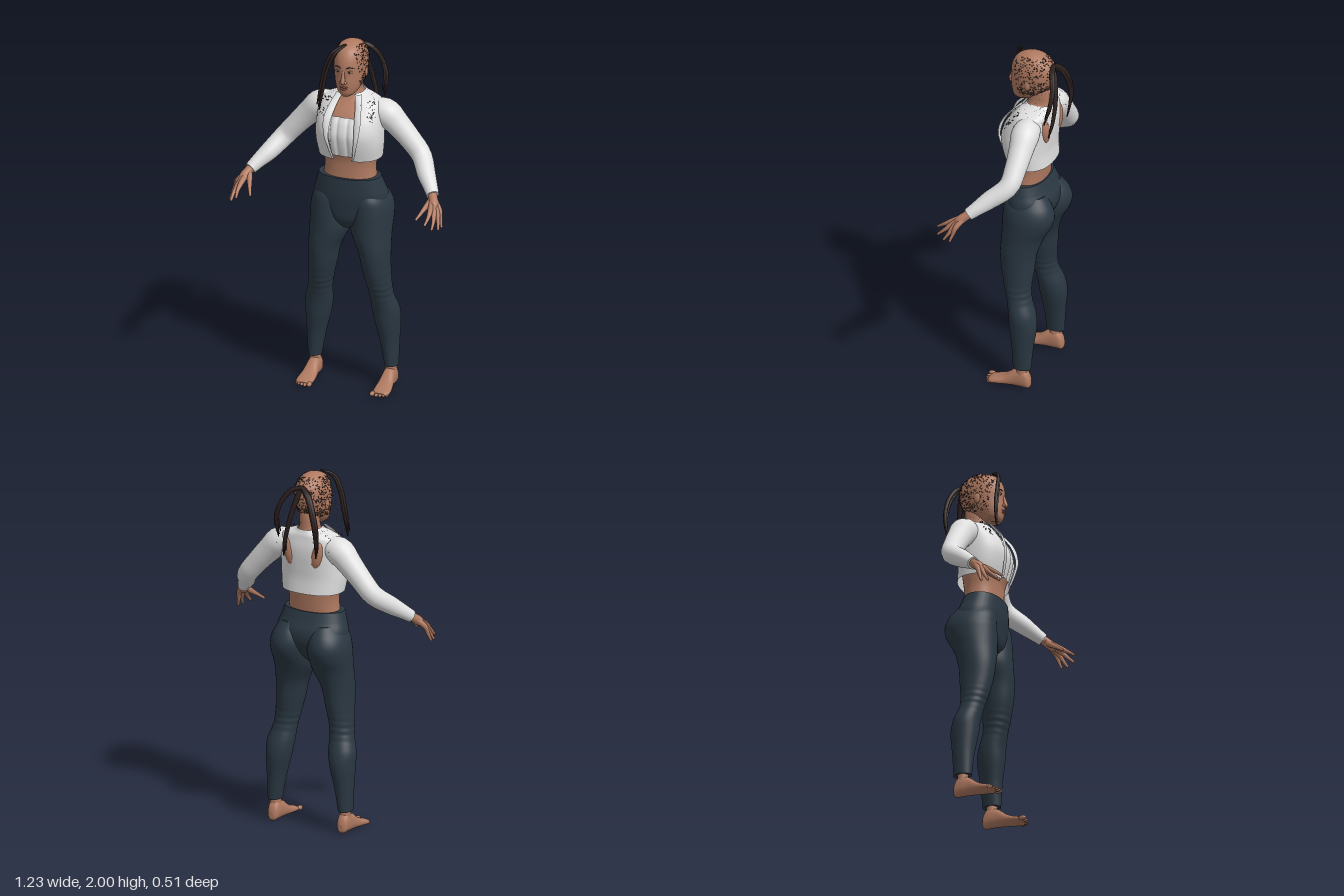
import * as THREE from 'three';
import { mergeGeometries } from 'three/addons/utils/BufferGeometryUtils.js';

const mat = (name, color, side = THREE.FrontSide) => {
  const m = new THREE.MeshStandardMaterial({ color, side });
  m.name = name;
  return m;
};

// Catmull-Rom blend of rows of numbers, t from 0 to 1
function blend(rows, t) {
  const n = rows.length, f = t * (n - 1), i = Math.min(Math.floor(f), n - 2), u = f - i;
  const [a, b, c, d] = [i - 1, i, i + 1, i + 2].map(k => rows[Math.max(0, Math.min(n - 1, k))]);
  return b.map((_, k) => b[k] + 0.5 * u * (c[k] - a[k] +
    u * (2 * a[k] - 5 * b[k] + 4 * c[k] - d[k] + u * (3 * (b[k] - c[k]) + d[k] - a[k]))));
}

// Skin over rings of points; closed rings get end caps
function skinRings(rings, closed = true) {
  const pos = [], idx = [], n = rings[0].length;
  rings.forEach(r => r.forEach(p => pos.push(...p)));
  for (let i = 0; i < rings.length - 1; i++) {
    for (let j = 0; j < (closed ? n : n - 1); j++) {
      const a = i * n + j, b = i * n + (j + 1) % n;
      idx.push(a, b, a + n, b, b + n, a + n);
    }
  }
  if (closed) [rings[0], rings[rings.length - 1]].forEach((r, end) => {
    const base = pos.length / 3;
    pos.push(...[0, 1, 2].map(k => r.reduce((s, p) => s + p[k], 0) / n));
    r.forEach(p => pos.push(...p));
    for (let j = 0; j < n; j++) {
      const a = base + 1 + j, b = base + 1 + (j + 1) % n;
      idx.push(base, end ? a : b, end ? b : a);
    }
  });
  const g = new THREE.BufferGeometry();
  g.setAttribute('position', new THREE.Float32BufferAttribute(pos, 3));
  g.setIndex(idx);
  g.computeVertexNormals();
  return g;
}

// Stack of rounded sections, top to bottom: [y, centreX, halfWidth, zFront, zBack, gap]
function loft(rows, { e = 1, n = 40, steps = 48, range, ripple } = {}) {
  const rings = [];
  const pw = v => Math.sign(v) * Math.abs(v) ** e;
  for (let i = 0; i <= steps; i++) {
    const s = blend(rows, i / steps), [y, cx, hw, zf, zb] = s;
    const [t0, t1] = range ? range(s) : [0, Math.PI * 2];
    rings.push(Array.from({ length: range ? n + 1 : n }, (_, j) => {
      const t = t0 + (t1 - t0) * j / n, k = ripple ? ripple(y, t) : 1;
      return [cx + hw * k * pw(Math.cos(t)), y, (zf + zb) / 2 + (zf - zb) / 2 * k * pw(Math.sin(t))];
    }));
  }
  return skinRings(rings, !range);
}

// Round limb along points [x, y, z, radius]
function sweep(rows, n = 16, steps = 24) {
  const ref = new THREE.Vector3(0, 0, 1), rings = [];
  for (let i = 0; i <= steps; i++) {
    const t = i / steps, [x, y, z, r] = blend(rows, t);
    const a = new THREE.Vector3(...blend(rows, Math.max(0, t - 0.01)));
    const T = new THREE.Vector3(...blend(rows, Math.min(1, t + 0.01))).sub(a).normalize();
    const N = ref.clone().cross(T).normalize(), B = T.clone().cross(N);
    rings.push(Array.from({ length: n }, (_, j) => {
      const w = j / n * Math.PI * 2, c = r * Math.cos(w), s = r * Math.sin(w);
      return [x + c * N.x + s * B.x, y + c * N.y + s * B.y, z + c * N.z + s * B.z];
    }));
  }
  return skinRings(rings);
}

const ball = (x, y, z, rx, ry, rz) => new THREE.SphereGeometry(1, 20, 14).scale(rx, ry, rz).translate(x, y, z);

export function createModel() {
  const model = new THREE.Group();
  model.name = 'standingWoman';
  const skin = mat('skin', 0xb07a61), cloth = mat('white cloth', 0xe0e0e0, THREE.DoubleSide);
  const navy = mat('dark leggings', 0x2a3742), hair = mat('dark hair', 0x2a1f1d);
  const lip = mat('lips', 0x8f5549), eyeWhite = mat('eye white', 0xcfc6c0), iris = mat('iris', 0x2e1d16);
  const add = (name, geo, m) => {
    const mesh = new THREE.Mesh(geo, m);
    mesh.name = name;
    model.add(mesh);
    return mesh;
  };
  const flip = (rows, s) => rows.map(([x, ...rest]) => [x * s, ...rest]);

  // Bare torso and neck
  add('torso', loft([
    [1.81, 0, .048, -.05, -.155], [1.76, 0, .05, -.04, -.16], [1.70, 0, .054, -.033, -.16],
    [1.67, 0, .09, -.02, -.167], [1.64, 0, .13, .005, -.17], [1.60, 0, .155, .04, -.175],
    [1.55, 0, .165, .07, -.175], [1.49, 0, .17, .085, -.17], [1.42, 0, .165, .075, -.165],
    [1.34, 0, .15, .052, -.155], [1.28, 0, .143, .048, -.148], [1.20, 0, .15, .05, -.14]], { e: .9 }), skin);

  // Head
  const headGeo = loft([
    [2.0, 0, .004, -.056, -.064], [1.994, 0, .036, -.018, -.102], [1.97, 0, .067, .028, -.152],
    [1.93, 0, .085, .055, -.182], [1.88, 0, .09, .066, -.19], [1.83, 0, .086, .064, -.178],
    [1.79, 0, .079, .065, -.155], [1.755, 0, .067, .062, -.11], [1.725, 0, .05, .056, -.07],
    [1.705, 0, .026, .042, -.03]], { n: 48 });
  add('head', headGeo, skin);
  add('nose', sweep([[0, 1.87, .058, .007], [0, 1.835, .066, .009], [0, 1.802, .073, .0125], [0, 1.79, .068, .008]]), skin);
  add('upperLip', ball(0, 1.768, .06, .024, .006, .009), lip);
  add('lowerLip', ball(0, 1.757, .06, .021, .007, .009), lip);

  // Leggings around the hips
  add('leggingsHips', loft([
    [1.23, 0, .175, .065, -.15], [1.18, 0, .19, .067, -.17], [1.12, 0, .207, .067, -.195],
    [1.05, 0, .2, .06, -.19], [.98, 0, .13, .05, -.15], [.93, 0, .04, .02, -.09]], { e: .92 }), navy);

  // Open jacket, with the gap at the front
  const jacketE = .85;
  add('jacket', loft([
    [1.70, 0, .062, -.025, -.17, .035], [1.685, 0, .085, -.015, -.175, .04], [1.67, 0, .13, 0, -.18, .05],
    [1.65, 0, .168, .018, -.183, .055], [1.60, 0, .183, .056, -.19, .065], [1.55, 0, .186, .087, -.19, .072],
    [1.49, 0, .188, .102, -.185, .074], [1.42, 0, .186, .092, -.18, .064], [1.34, 0, .175, .07, -.185, .052]], {
    e: jacketE, n: 56,
    range: ([, , hw, , , gap]) => {
      const d = Math.asin(Math.min(1, (gap / hw) ** (1 / jacketE)));
      return [Math.PI / 2 + d, Math.PI * 2.5 - d];
    } }), cloth);

  // Gathered top under the jacket
  add('innerTop', loft([
    [1.59, 0, .172, .062, -.17], [1.55, 0, .176, .084, -.17], [1.49, 0, .179, .098, -.17],
    [1.43, 0, .176, .089, -.17], [1.365, 0, .168, .07, -.17]], {
    e: jacketE, n: 60, range: () => [Math.PI / 2 - .55, Math.PI / 2 + .55],
    ripple: (y, t) => 1 - .03 * Math.abs(Math.cos((t - Math.PI / 2) * 13 + Math.PI / 2)) ** 8
      + .012 * Math.cos((t - Math.PI / 2) * 26) }), cloth);

  for (const s of [1, -1]) {
    const side = s > 0 ? 'left' : 'right';
    const limb = (name, rows, m, n) => add(side + name, sweep(flip(rows, s), n), m);
    const blob = (name, x, y, z, rx, ry, rz, m) => add(side + name, ball(x * s, y, z, rx, ry, rz), m);

    // Face details
    blob('Eye', .034, 1.856, .051, .015, .0065, .009, eyeWhite);
    blob('Iris', .034, 1.856, .056, .006, .006, .0055, iris);
    limb('Brow', [[.014, 1.877, .063, .002], [.034, 1.884, .057, .003], [.056, 1.876, .042, .0015]], hair, 8);
    limb('Eyelid', [[.018, 1.857, .058, .002], [.034, 1.864, .059, .003], [.051, 1.857, .046, .002]], skin, 8);
    blob('Nostril', .012, 1.796, .066, .009, .008, .01, skin);
    blob('Ear', .086, 1.83, -.06, .009, .03, .018, skin);

    // Turned-back lapel: [y, innerX, innerZ, outerX, outerZ]
    const lapel = [[1.70, .034, -.02, .072, -.03], [1.65, .052, .02, .092, .03], [1.58, .066, .075, .108, .084],
      [1.49, .073, .103, .1, .103], [1.41, .063, .092, .08, .09], [1.345, .052, .072, .06, .072]];
    add(side + 'Lapel', skinRings(Array.from({ length: 21 }, (_, i) => {
      const [y, xi, zi, xo, zo] = blend(lapel, i / 20);
      return [[xi, zi], [(xi + xo) / 2, (zi + zo) / 2 + .011], [xo, zo]].map(([x, z]) => [x * s, y, z]);
    }), false), cloth);

    // Bare patch on the shoulder blade
    add(side + 'BackPatch', new THREE.SphereGeometry(1, 24, 16).scale(.034, .08, .026)
      .rotateZ(-s * .2).translate(s * .085, 1.565, -.166), skin);

    // Sleeve, wrist and fingers
    limb('Sleeve', [[.11, 1.60, -.095, .06], [.185, 1.588, -.096, .078], [.25, 1.53, -.1, .068], [.325, 1.45, -.1, .06],
      [.395, 1.37, -.088, .056], [.455, 1.30, -.005, .05], [.495, 1.26, .045, .041], [.527, 1.225, .088, .034]], cloth, 28);
    limb('Wrist', [[.505, 1.25, .06, .026], [.53, 1.22, .095, .025], [.55, 1.19, .13, .026], [.56, 1.17, .152, .014]], skin);
    const fingers = {
      Pinky: [[.583, 1.165, .135], [.596, 1.12, .15], [.606, 1.082, .163]],
      Ring: [[.574, 1.163, .15], [.592, 1.115, .178], [.6, 1.08, .2]],
      Middle: [[.562, 1.166, .165], [.577, 1.125, .208], [.579, 1.092, .243]],
      Index: [[.546, 1.174, .172], [.55, 1.145, .22], [.545, 1.118, .258]],
      Thumb: [[.514, 1.184, .138], [.496, 1.152, .182], [.48, 1.125, .218]]
    };
    for (const [name, [a, b, c]] of Object.entries(fingers)) {
      limb(name + 'Finger', [[.532, 1.215, .1, .018], [...a, .0155], [...b, .0105], [...c, .007]], skin, 12);
      blob(name + 'Tip', ...c, .0075, .0075, .0075, skin);
    }

    // Leggings leg, creased at the knee
    add(side + 'Leg', loft([
      [1.16, .1, .07, .03, -.17], [1.10, .112, .1, .055, -.213], [1.04, .116, .114, .061, -.23], [.98, .117, .115, .064, -.215],
      [.9, .12, .111, .066, -.172], [.8, .143, .089, .066, -.14], [.7, .154, .078, .055, -.13], [.6, .168, .069, .032, -.12],
      [.53, .179, .068, .012, -.127], [.45, .193, .077, -.004, -.155], [.37, .2, .07, -.012, -.165],
      [.25, .212, .052, -.03, -.152], [.12, .221, .037, -.04, -.143]].map(([y, x, ...r]) => [y, x * s, ...r]), {
      n: 36, steps: 110,
      ripple: (y, t) => 1 + .022 * Math.exp(-(((y - .58) / .06) ** 2)) * Math.sin(y * 170 + Math.sin(t) * 1.2) }), navy);

    // Ankle, foot and toes
    limb('Ankle', [[.221, .16, -.09, .03], [.219, .1, -.09, .031], [.218, .05, -.09, .034]], skin, 20);
    add(side + 'Foot', loft([
      [.098, .222, .03, -.004, -.02], [.08, .222, .046, 0, -.03], [.04, .221, .048, 0, -.043], [0, .219, .043, 0, -.062],
      [-.05, .218, .036, 0, -.1], [-.1, .218, .034, 0, -.115], [-.13, .218, .028, 0, -.085], [-.142, .218, .012, -.015, -.05]]
      .map(([z, x, ...r]) => [z, x * s, ...r]), { e: .85, n: 28 }).rotateX(Math.PI / 2), skin);
    for (let i = 0; i < 5; i++) {
      const r = i ? .0095 - i * .0006 : .0135;
      blob('Toe' + (i + 1), [.182, .206, .226, .244, .26][i], r + .001, [.1, .102, .097, .09, .08][i], r, r, .022, skin);
    }
  }

  // Loose hair locks, each made of a few strands
  const locks = {
    frontLock: [[-.01, 1.995, .0, .004], [-.06, 1.955, .05, .008], [-.098, 1.87, .06, .009], [-.122, 1.76, .06, .009], [-.142, 1.635, .07, .003]],
    backLeftLock: [[0, 1.94, -.18, .012], [.06, 1.92, -.2, .013], [.11, 1.85, -.225, .012], [.14, 1.76, -.22, .01], [.138, 1.66, -.19, .003]],
    backRightLock: [[0, 1.94, -.18, .012], [-.05, 1.9, -.205, .013], [-.09, 1.82, -.23, .012], [-.115, 1.71, -.235, .01], [-.11, 1.58, -.215, .003]],
    backMiddleLock: [[.01, 1.93, -.185, .01], [.03, 1.86, -.205, .012], [.06, 1.75, -.22, .01], [.09, 1.63, -.215, .008], [.1, 1.56, -.2, .003]]
  };
  for (const [name, rows] of Object.entries(locks)) {
    add(name, mergeGeometries([-1, 0, 1].map(k => sweep(rows.map(([x, y, z, r], i) =>
      [x + k * .006, y - k * .004 * i, z + (k ? .004 : 0), r]), 8))), hair);
  }

  // Hair flecks over the scalp, and drifting around the shoulders
  let seed = 7;
  const rnd = () => (seed = (seed * 16807) % 2147483647) / 2147483647;
  const flecks = [], p = headGeo.attributes.position;
  const fleck = (x, y, z, r) => flecks.push(
    new THREE.TetrahedronGeometry(r).rotateX(rnd() * 6).rotateY(rnd() * 6).translate(x, y, z));
  while (flecks.length < 750) {
    const i = Math.floor(rnd() * 47 * 48), k = rnd();
    const [x, y, z] = ['getX', 'getY', 'getZ'].map(f => p[f](i) * k + p[f](i + 49) * (1 - k));
    const onScalp = y > 1.76 && y < 1.985 && z < .03 - (1.93 - y) * .2 && (Math.abs(x) > .045 || z < -.12);
    if (onScalp) fleck(x * 1.02, y, z * 1.01, .003 + rnd() * .0025);
  }
  for (let i = 0; i < 360; i++) {
    const s = i % 2 ? 1 : -1, t = rnd();
    fleck(s * (.085 + rnd() * (.04 + t * .06)), 1.93 - t * .33, -.22 + rnd() * (.2 + t * .08), .0012 + rnd() * .0015);
  }
  for (let i = 0; i < 120; i++) {
    const s = i % 2 ? 1 : -1, y = 1.57 + rnd() * .1;
    fleck(s * (.09 + rnd() * .07), y, .075 - (y - 1.55) * .75 - rnd() * .02, .003 + rnd() * .002);
  }
  add('hairFlecks', mergeGeometries(flecks), hair);

  return model;
}
